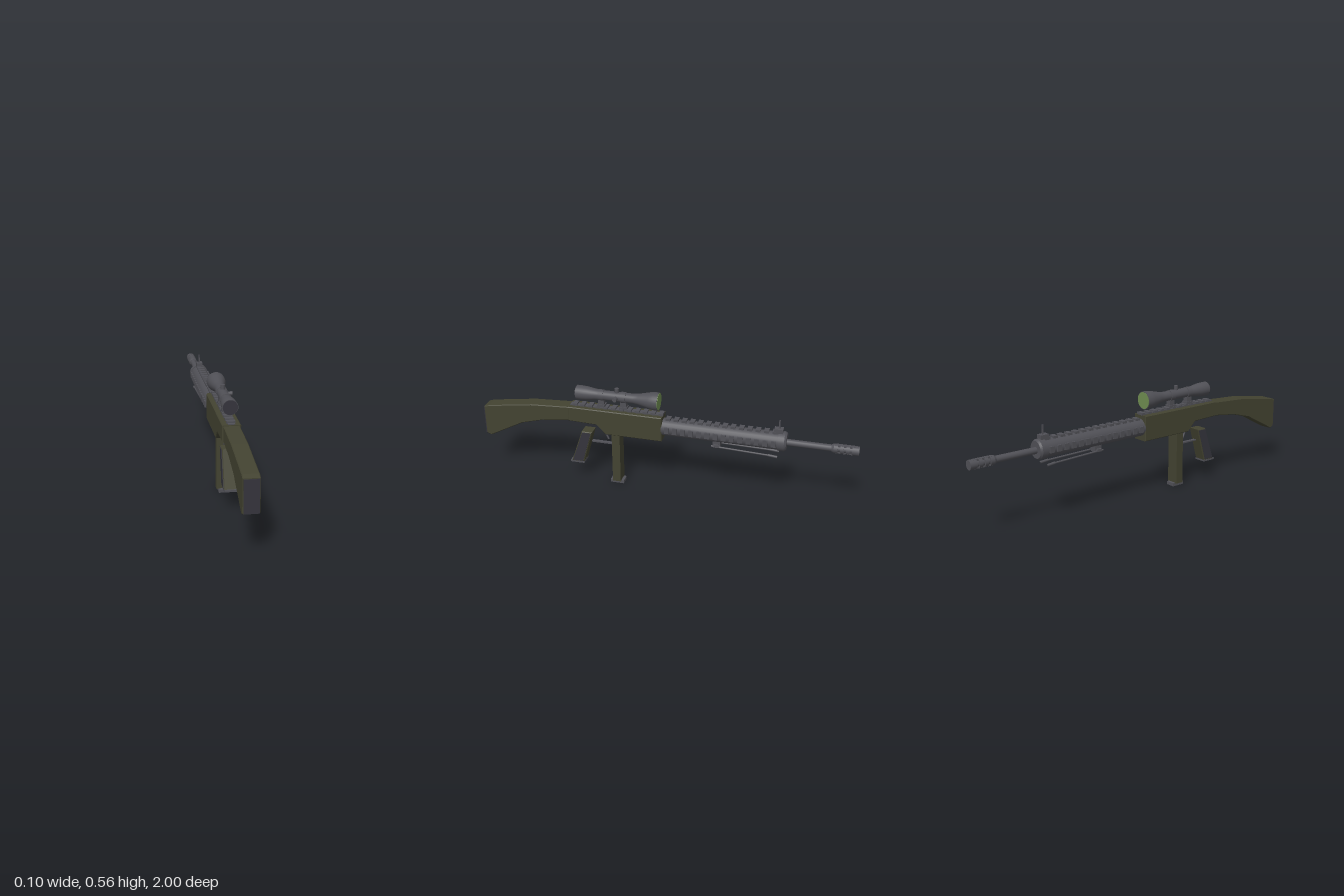
import * as THREE from 'three';

const olive = new THREE.MeshStandardMaterial({ color: 0x434331 });
olive.name = 'olive';
const grey = new THREE.MeshStandardMaterial({ color: 0x505056 });
grey.name = 'gunmetal';
const dark = new THREE.MeshStandardMaterial({ color: 0x35343c });
dark.name = 'darkRubber';
const green = new THREE.MeshStandardMaterial({ color: 0x6f8c50 });
green.name = 'greenGlass';

export function createModel() {
  const model = new THREE.Group();
  model.name = 'rifle';

  const add = (name, geo, mat, x = 0, y = 0, z = 0) => {
    const m = new THREE.Mesh(geo, mat);
    m.name = name;
    m.position.set(x, y, z);
    model.add(m);
    return m;
  };
  // box given by its ranges in y and z, centred on x
  const box = (name, mat, w, y0, y1, z0, z1, x = 0) =>
    add(name, new THREE.BoxGeometry(w, y1 - y0, Math.abs(z1 - z0)), mat, x, (y0 + y1) / 2, (z0 + z1) / 2);
  // cylinder along z from zBack (radius r0) to zFront (radius r1)
  const tube = (name, mat, r0, r1, zBack, zFront, y, sides = 24) =>
    add(name, new THREE.CylinderGeometry(r0, r1, zBack - zFront, sides).rotateX(Math.PI / 2), mat, 0, y, (zBack + zFront) / 2);
  // side profile of [z, y] points extruded across x
  const profile = (name, mat, pts, w, bevel = 0.004, x = 0) => {
    const shape = new THREE.Shape(pts.map(([z, y]) => new THREE.Vector2(-z, y)));
    const geo = new THREE.ExtrudeGeometry(shape, {
      depth: w - 2 * bevel, bevelEnabled: bevel > 0, bevelThickness: bevel,
      bevelSize: bevel, bevelOffset: -bevel, bevelSegments: 1,
    });
    geo.translate(0, 0, -(w - 2 * bevel) / 2).rotateY(Math.PI / 2);
    return add(name, geo, mat, x);
  };
  // thin round rod between two points
  const rod = (name, mat, a, b, r) =>
    add(name, new THREE.TubeGeometry(new THREE.LineCurve3(new THREE.Vector3(...a), new THREE.Vector3(...b)), 1, r, 8), mat);

  // stock with butt pad
  profile('stock', olive, [[0.996, 0.212], [0.97, 0.202], [0.78, 0.302], [0.66, 0.335], [0.505, 0.355],
    [0.505, 0.432], [0.72, 0.42], [0.97, 0.383], [0.996, 0.374]], 0.078);
  box('buttPad', dark, 0.07, 0.213, 0.37, 0.992, 1);

  // receiver
  profile('receiver', olive, [[0.51, 0.355], [0.355, 0.35], [0.305, 0.3], [0, 0.3], [0, 0.436], [0.51, 0.436]], 0.09);

  // receiver rail
  box('receiverRail', grey, 0.034, 0.432, 0.44, 0.505, 0);
  for (let i = 0; i < 12; i++) {
    const z = 0.49 - i * 0.0425;
    box('railTooth', grey, 0.042, 0.436, 0.448, z, z - 0.024);
  }

  // handguard with toothed rails on top and both sides
  tube('handguard', grey, 0.046, 0.046, 0.005, -0.61, 0.37);
  tube('handguardCollar', grey, 0.051, 0.051, -0.6, -0.632, 0.37);
  tube('handguardNose', grey, 0.051, 0.044, -0.632, -0.642, 0.37);
  for (let i = 0; i < 14; i++) {
    const z = -0.015 - i * 0.0425;
    box('topTooth', grey, 0.036, 0.405, 0.424, z, z - 0.025);
    for (const s of [-1, 1]) box('sideTooth', grey, 0.012, 0.354, 0.386, z, z - 0.025, s * 0.046);
  }

  // barrel and slotted muzzle brake
  tube('barrel', grey, 0.017, 0.017, -0.6, -0.9, 0.367, 16);
  tube('brakeCore', grey, 0.017, 0.017, -0.87, -0.995, 0.367, 16);
  tube('brakeNeck', grey, 0.019, 0.024, -0.864, -0.875, 0.367, 16);
  for (const [a, b] of [[-0.875, -0.895], [-0.907, -0.924], [-0.936, -0.953], [-0.965, -1]])
    tube('brakeRing', grey, 0.024, 0.024, a, b, 0.367, 16);
  for (const s of [-1, 1]) box('brakeSpine', grey, 0.02, 0.367 - 0.006 + s * 0.0165, 0.367 + 0.006 + s * 0.0165, -0.88, -0.98);

  // front sight
  box('frontSightBase', grey, 0.034, 0.412, 0.44, -0.575, -0.62);
  box('frontSightPost', grey, 0.006, 0.435, 0.486, -0.596, -0.603);

  // scope body, lenses, turrets and mounts
  const scopeY = 0.508;
  const outline = [[0, 0.025], [0.047, 0.025], [0.047, 0.05], [0.043, 0.075], [0.03, 0.13], [0.026, 0.16],
    [0.026, 0.33], [0.029, 0.365], [0.036, 0.41], [0.038, 0.44], [0.038, 0.468], [0, 0.468]];
  const pts = [];
  outline.forEach(([r, z], i) => {
    const p = new THREE.Vector2(r, z);
    pts.push(p);
    // doubled rim points keep the end faces crisp
    if (i === 1 || i === 10) pts.push(p.clone());
  });
  add('scopeBody', new THREE.LatheGeometry(pts, 28).rotateX(Math.PI / 2), grey, 0, scopeY, 0);
  tube('objectiveLens', green, 0.044, 0.044, 0.027, 0.023, scopeY, 28);
  tube('eyepieceLens', dark, 0.036, 0.036, 0.471, 0.466, scopeY, 28);
  add('elevationTurret', new THREE.CylinderGeometry(0.011, 0.011, 0.03, 14), grey, 0, 0.54, 0.25);
  add('windageTurret', new THREE.CylinderGeometry(0.011, 0.011, 0.03, 14).rotateZ(Math.PI / 2), grey, 0.032, scopeY, 0.25);
  for (const z of [0.334, 0.213]) {
    box('mountBase', grey, 0.038, 0.444, 0.458, z + 0.021, z - 0.021);
    box('mountNeck', grey, 0.03, 0.455, 0.49, z + 0.016, z - 0.016);
    tube('mountRing', grey, 0.029, 0.029, z + 0.014, z - 0.014, scopeY);
  }

  // pistol grip with dark side panels and base
  const grip = [[0.505, 0.108], [0.437, 0.108], [0.385, 0.293], [0.443, 0.293]];
  profile('grip', olive, grip, 0.07);
  const panel = [[0.498, 0.114], [0.441, 0.114], [0.392, 0.288], [0.439, 0.288]];
  for (const s of [-1, 1]) profile('gripPanel', dark, panel, 0.004, 0, s * 0.0355);
  box('gripBase', grey, 0.068, 0.1, 0.11, 0.513, 0.436);

  // trigger and guard
  box('triggerGuard', grey, 0.018, 0.225, 0.232, 0.395, 0.27);
  const triggerPath = new THREE.CatmullRomCurve3([[0.325, 0.325], [0.317, 0.285], [0.302, 0.252]]
    .map(([z, y]) => new THREE.Vector3(0, y, z)));
  add('trigger', new THREE.TubeGeometry(triggerPath, 8, 0.005, 8), grey);

  // magazine
  box('magazine', olive, 0.068, 0.015, 0.31, 0.275, 0.231);
  box('magazineFoot', grey, 0.05, 0, 0.018, 0.29, 0.216);

  // folded bipod
  box('bipodMount', grey, 0.036, 0.296, 0.332, -0.265, -0.305);
  box('bipodPivot', grey, 0.06, 0.298, 0.312, -0.272, -0.298);
  for (const s of [-1, 1]) {
    rod('bipodLeg', grey, [s * 0.024, 0.302, -0.26], [s * 0.03, 0.294, -0.57], 0.005);
    rod('bipodFoot', grey, [s * 0.03, 0.295, -0.555], [s * 0.031, 0.291, -0.602], 0.007);
  }

  return model;
}
